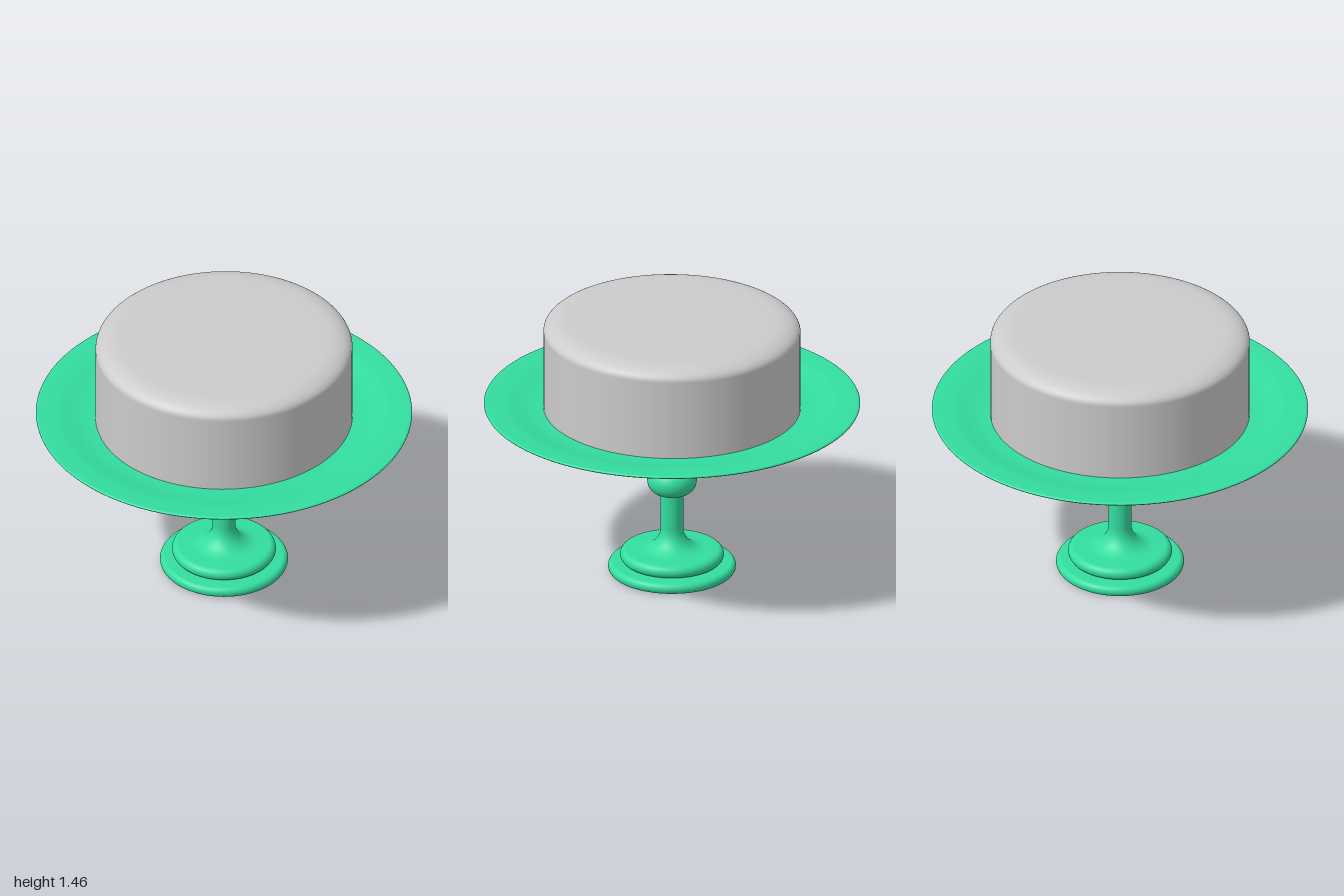
import * as THREE from 'three';

const SEGMENTS = 96;
const green = new THREE.MeshStandardMaterial({ color: 0x33dda0, side: THREE.DoubleSide });
const grey = new THREE.MeshStandardMaterial({ color: 0xcccccc });

// Points along an elliptical arc in the profile plane, angles in degrees
function arc(cx, cy, rx, ry, from, to, steps = 8) {
  return Array.from({ length: steps + 1 }, (_, i) => {
    const a = THREE.MathUtils.degToRad(from + ((to - from) * i) / steps);
    return [cx + rx * Math.cos(a), cy + ry * Math.sin(a)];
  });
}

function turned(name, profile, material) {
  const points = profile.map(([x, y]) => new THREE.Vector2(Math.max(x, 0), y));
  const mesh = new THREE.Mesh(new THREE.LatheGeometry(points, SEGMENTS), material);
  mesh.name = name;
  return mesh;
}

export function createModel() {
  const model = new THREE.Group();
  model.name = 'cakeOnStand';

  // Hollow stepped foot: inside of the shell first, then the outside going up
  model.add(turned('foot', [
    [0, 0.24], [0.035, 0.22], [0.07, 0.17], [0.12, 0.135], [0.2, 0.118],
    ...arc(0.225, 0.093, 0.025, 0.025, 90, -90, 6),
    [0.235, 0.055], [0.27, 0.05],
    ...arc(0.285, 0.03, 0.02, 0.02, 90, 0, 4),
    [0.305, 0.004], [0.306, 0],
    ...arc(0.313, 0.029, 0.027, 0.029, -90, 90, 12),
    [0.26, 0.058], [0.25, 0.06],
    ...arc(0.242, 0.095, 0.034, 0.034, -90, 90, 12),
    [0.18, 0.13],
    ...arc(0.18, 0.25, 0.12, 0.12, 270, 180, 12),
  ], green));

  // Stem with a rounded knop and a flare below the plate
  model.add(turned('stem', [
    [0.06, 0.25], [0.06, 0.44], [0.064, 0.449],
    ...arc(0.062, 0.525, 0.07, 0.075, -80, 80, 16),
    [0.07, 0.605], [0.062, 0.635], [0.058, 0.67],
    ...arc(0.238, 0.685, 0.18, 0.18, 180, 90, 14),
  ], green));

  // Plate: stepped underside out to the rim, then the shallow dish back in
  model.add(turned('plate', [
    [0, 0.865], [0.3, 0.865], [0.735, 0.865],
    ...arc(0.735, 0.88, 0.02, 0.015, -90, 0, 4),
    [0.765, 0.894], [0.78, 0.903], [0.83, 0.906],
    ...arc(0.85, 0.922, 0.025, 0.016, -90, 0, 5),
    [0.885, 0.942], [0.91, 0.948], [0.97, 0.959],
    ...arc(0.988, 0.969, 0.012, 0.008, -70, 90, 8),
    [0.95, 0.976], [0.9, 0.973], [0.86, 0.969], [0.82, 0.959],
    [0.77, 0.95], [0.72, 0.946], [0.66, 0.945], [0, 0.945],
  ], green));

  // Cake with a softly rounded top edge
  const cake = turned('cake', [
    [0, 0.94], [0.679, 0.94], [0.68, 0.941], [0.68, 0.95], [0.68, 1.38],
    ...arc(0.55, 1.385, 0.13, 0.066, 0, 90, 14),
    [0.5, 1.453], [0, 1.455],
  ], grey);
  cake.scale.z = 1.014;
  model.add(cake);

  return model;
}
